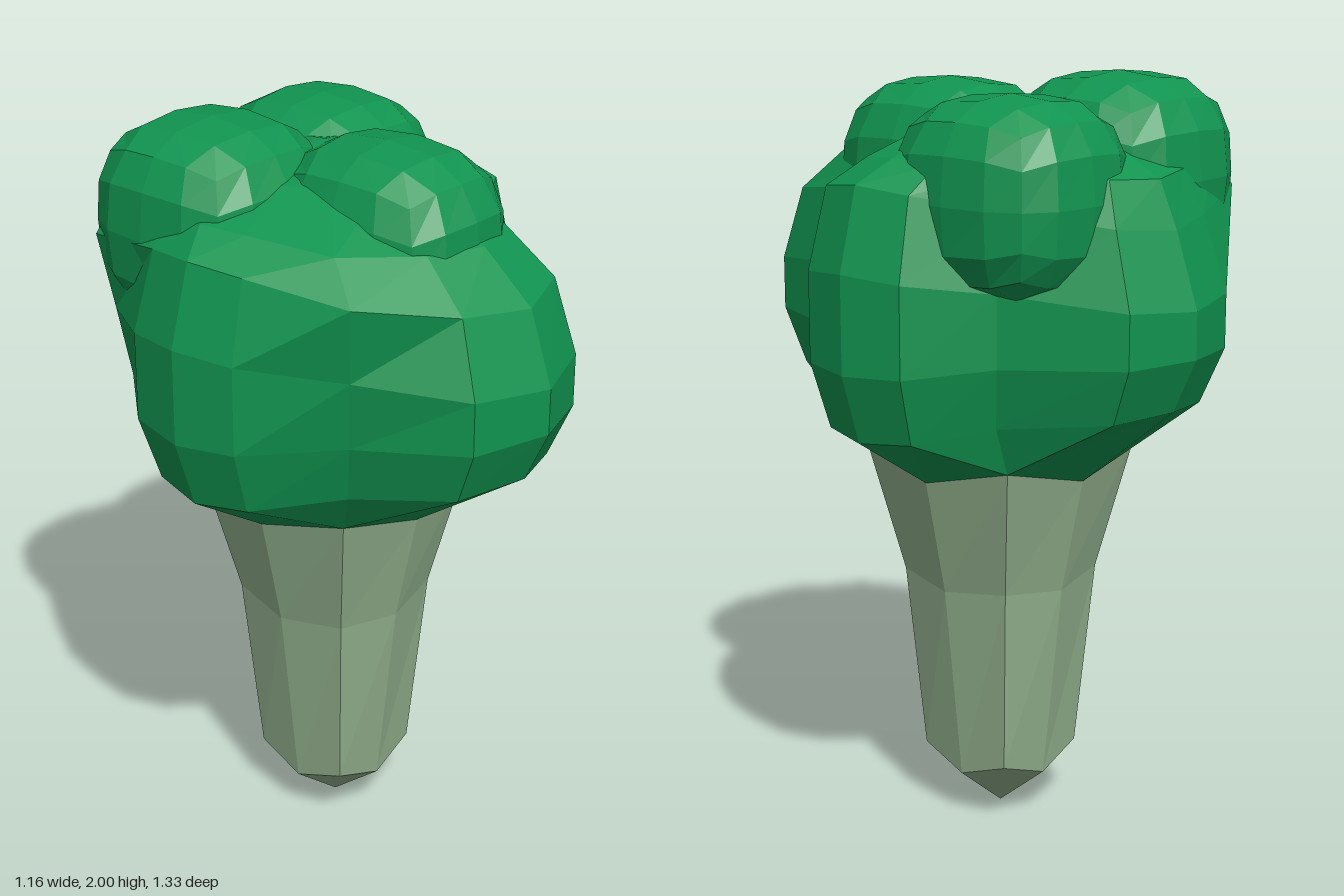
import * as THREE from 'three';

const crownGreen = new THREE.MeshStandardMaterial({ color: 0x119450 });
const stemGreen = new THREE.MeshStandardMaterial({ color: 0x92b08d });

// Faceted skin over equal-length rings of Vector3, listed from bottom to top
function loft(rings) {
  const pos = [];
  const tri = (a, b, c) => {
    const area = b.clone().sub(a).cross(c.clone().sub(a)).length();
    if (area > 1e-6) for (const p of [a, b, c]) pos.push(p.x, p.y, p.z);
  };
  for (let k = 0; k < rings.length - 1; k++) {
    const lo = rings[k], hi = rings[k + 1], n = lo.length;
    for (let i = 0; i < n; i++) {
      const j = (i + 1) % n;
      tri(lo[i], lo[j], hi[j]);
      tri(lo[i], hi[j], hi[i]);
    }
  }
  const g = new THREE.BufferGeometry();
  g.setAttribute('position', new THREE.Float32BufferAttribute(pos, 3));
  g.computeVertexNormals();
  return g;
}

// Faceted rounded lump: a subdivided cube pulled onto a superellipsoid
function lump(rx, ry, rz) {
  const e = 2.8;
  const g = new THREE.BoxGeometry(2, 2, 2, 4, 4, 4).toNonIndexed();
  const p = g.attributes.position, v = new THREE.Vector3();
  for (let i = 0; i < p.count; i++) {
    v.fromBufferAttribute(p, i);
    const len = (Math.abs(v.x) ** e + Math.abs(v.y) ** e + Math.abs(v.z) ** e) ** (1 / e);
    v.divideScalar(len);
    p.setXYZ(i, v.x * rx, v.y * ry, v.z * rz);
  }
  g.computeVertexNormals();
  return g;
}

// Eight-point squarish ring: side midpoints and corners at their own heights
const CZ = -0.025;
function stemRing(mid, midY, corner, cornerY) {
  return Array.from({ length: 8 }, (_, i) => {
    const a = (i * Math.PI) / 4;
    const r = i % 2 ? corner * Math.SQRT2 : mid;
    return new THREE.Vector3(Math.sin(a) * r, i % 2 ? cornerY : midY, Math.cos(a) * r + CZ);
  });
}

// Ring shrunk to a single point
function tip(n, y, z) {
  return Array.from({ length: n }, () => new THREE.Vector3(0, y, z));
}

export function createModel() {
  const group = new THREE.Group();
  const add = (name, geo, mat, x = 0, y = 0, z = 0) => {
    const m = new THREE.Mesh(geo, mat);
    m.name = name;
    m.position.set(x, y, z);
    group.add(m);
  };

  // Stem: pointed foot, flaring towards the crown
  const neck = stemRing(0.285, 0.97, 0.25, 1.03);
  add('stem', loft([
    tip(8, 0.005, CZ),
    stemRing(0.155, 0.13, 0.143, 0.18),
    stemRing(0.217, 0.66, 0.18, 0.68),
    neck,
  ]), stemGreen);

  // Crown: plan outline of four lobes (three points each) with a corner between them
  const outline = [
    [0, 0.665], [0.19, 0.6], [0.29, 0.265], [0.54, 0.125],
    [0.58, -0.03], [0.54, -0.19], [0.34, -0.32], [0.19, -0.61],
    [0, -0.665], [-0.19, -0.61], [-0.41, -0.42], [-0.54, -0.2],
    [-0.58, -0.03], [-0.54, 0.13], [-0.38, 0.36], [-0.21, 0.6],
  ];
  // Each level: scale, scale of the full right-hand corners,
  // height at front and back lobes, height at side lobes, shift in z
  const levels = [
    [0.9, 0.82, 1.2, 1.12, 0],
    [1, 0.92, 1.34, 1.3, 0],
    [1, 0.98, 1.46, 1.55, 0],
    [0.9, 1.05, 1.65, 1.76, 0],
    [0.75, 0.9, 1.77, 1.82, -0.045],
    [0.42, 0.45, 1.88, 1.88, -0.045],
  ];
  // Each neck corner is shared by the three points between two lobe middles
  const base = outline.map((_, i) => neck[i % 4 ? 2 * Math.floor(i / 4) + 1 : i / 2]);
  const crownRings = levels.map(([s, sCorner, yFront, ySide, dz]) => outline.map(([x, z], i) => {
    const k = i === 10 || i === 14 ? sCorner : s;
    const toSide = (1 - Math.cos((i * Math.PI) / 4)) / 2;
    return new THREE.Vector3(x * k, THREE.MathUtils.lerp(yFront, ySide, toSide), z * k + dz);
  }));
  add('crown', loft([base, ...crownRings, tip(16, 1.93, -0.06)]), crownGreen);

  // Florets bulging from the top of the crown
  const florets = [
    ['frontTopFloret', 0.23, 0.28, 0.29, -0.01, 1.695, 0.16],
    ['backRightTopFloret', 0.26, 0.26, 0.27, -0.21, 1.74, -0.24],
    ['backLeftTopFloret', 0.25, 0.25, 0.27, 0.2, 1.72, -0.24],
  ];
  for (const [name, rx, ry, rz, x, y, z] of florets) {
    add(name, lump(rx, ry, rz), crownGreen, x, y, z);
  }
  return group;
}
